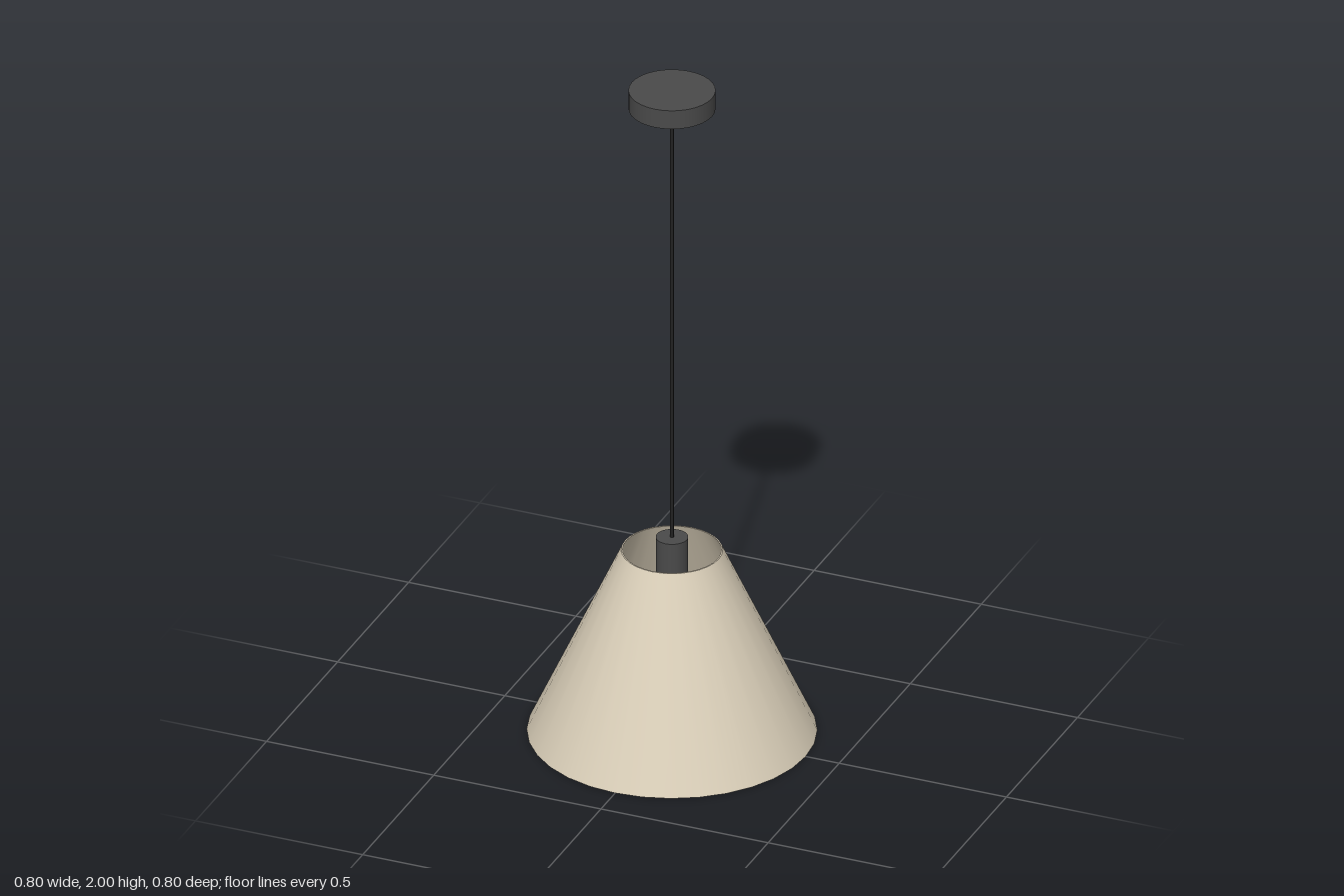
import * as THREE from 'three';
import { toCreasedNormals } from 'three/addons/utils/BufferGeometryUtils.js';

export function createModel() {
  const lamp = new THREE.Group();
  lamp.name = 'pendantLamp';

  const material = (name, color, side = THREE.FrontSide) => {
    const m = new THREE.MeshStandardMaterial({ color, side });
    m.name = name;
    return m;
  };
  const metal = material('darkMetal', 0x4a4a4a);
  const cordBlack = material('cordBlack', 0x222222);
  const fabric = material('beigeShade', 0xd9ceb8, THREE.DoubleSide);
  const glass = material('warmBulb', 0xf5e6c8);

  const add = (name, geometry, mat, y = 0) => {
    const mesh = new THREE.Mesh(geometry, mat);
    mesh.name = name;
    mesh.position.y = y;
    lamp.add(mesh);
  };
  // Upright cylinder between two heights
  const rod = (name, radius, y0, y1, sides, mat) =>
    add(name, new THREE.CylinderGeometry(radius, radius, y1 - y0, sides), mat, (y0 + y1) / 2);

  // Ceiling canopy, cord and bulb socket
  rod('ceilingCanopy', 0.12, 1.943, 2, 32, metal);
  rod('cord', 0.005, 0.6, 1.945, 12, cordBlack);
  rod('socket', 0.045, 0.4, 0.603, 24, metal);

  // Bulb hanging inside the shade
  add('bulb', new THREE.SphereGeometry(0.1, 24, 16), glass, 0.315);

  // Thin conical shade, open at both ends
  const profile = [
    [0.4, 0], [0.14, 0.563], [0.136, 0.563], [0.396, 0], [0.4, 0],
  ].map(([r, y]) => new THREE.Vector2(r, y));
  add('shade', toCreasedNormals(new THREE.LatheGeometry(profile, 32), 0.6), fabric);

  return lamp;
}
